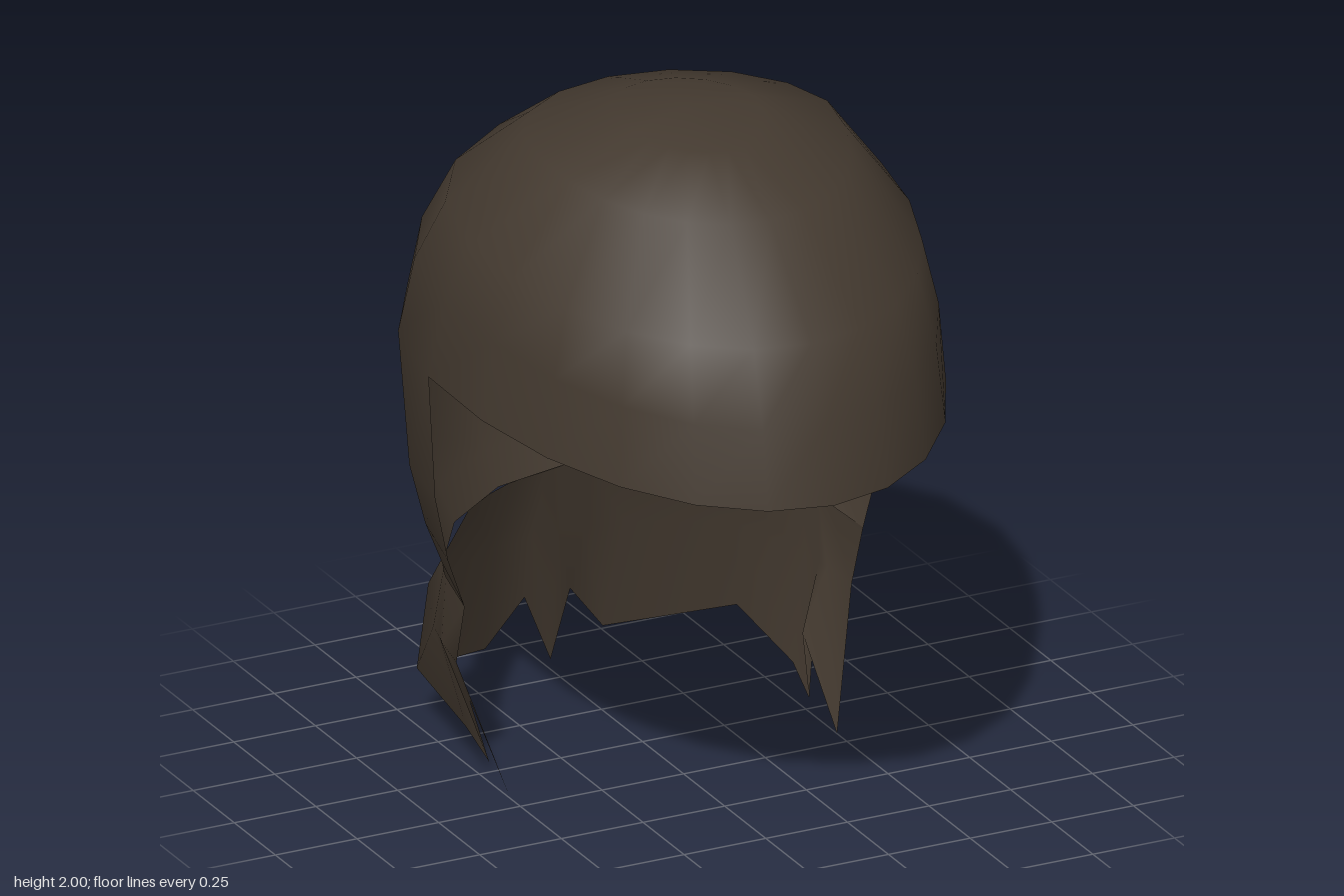
import * as THREE from 'three';

const hair = new THREE.MeshStandardMaterial({ color: 0x43392f, side: THREE.DoubleSide });
hair.name = 'darkBrownHair';

// Each ring: front [z, y], side [x, y, z], back [z, y]
const rings = [
  { f: [0.27, 1.96], s: [0.2, 1.99, 0.02], b: [-0.22, 1.98] },
  { f: [0.53, 1.85], s: [0.44, 1.92, 0.0], b: [-0.46, 1.9] },
  { f: [0.78, 1.58], s: [0.63, 1.68, -0.05], b: [-0.69, 1.74] },
  { f: [0.865, 1.37], s: [0.68, 1.5, -0.1], b: [-0.86, 1.51] },
  { f: [0.915, 1.15], s: [0.705, 1.26, -0.15], b: [-0.915, 1.3] },
  // Below the brow only the back half continues
  { s: [0.7, 0.91, -0.12], b: [-0.81, 0.88] },
  { s: [0.655, 0.71, -0.13], b: [-0.755, 0.74] },
  { s: [0.61, 0.57, -0.12], b: [-0.71, 0.65] },
];
const FULL = 5, FRONT = 12, BACK = 8, COLS = FRONT + BACK;

// Point on a ring; angle 0 is the left side, PI/2 the front
function ringPoint(ring, a) {
  const t = Math.sin(a), [x, y, z] = ring.s;
  const end = t > 0 ? ring.f || ring.b : ring.b;
  const k = Math.abs(t);
  return [x * Math.cos(a), y + (end[1] - y) * k, z + (end[0] - z) * k];
}

const columnAngle = (i) =>
  i <= FRONT ? (i * Math.PI) / FRONT : Math.PI + ((i - FRONT) * Math.PI) / BACK;

function makeMesh(name, points, index) {
  const g = new THREE.BufferGeometry();
  g.setAttribute('position', new THREE.Float32BufferAttribute(points.flat(), 3));
  g.setIndex(index);
  g.computeVertexNormals();
  const mesh = new THREE.Mesh(g, hair);
  mesh.name = name;
  return mesh;
}

const quad = (a, b, c, d) => [a, b, c, a, c, d];

// Domed cap: full rings on the crown, back half only over the nape
function makeCap() {
  const points = [[0, 2, 0.02]], index = [];
  const id = (r, i) => 1 + r * COLS + (i % COLS);
  rings.forEach((ring) => {
    for (let i = 0; i < COLS; i++) points.push(ringPoint(ring, columnAngle(i)));
  });
  for (let i = 0; i < COLS; i++) {
    index.push(0, id(0, i + 1), id(0, i));
    for (let r = 0; r < rings.length - 1; r++) {
      if (r >= FULL - 1 && i < FRONT) continue;
      index.push(...quad(id(r, i), id(r, i + 1), id(r + 1, i + 1), id(r + 1, i)));
    }
  }
  return makeMesh('hairCap', points, index);
}

// Flared ragged ends: one half from the side edge to the middle of the back
const neckDegrees = [0, 16, 20, 26, 56, 75, 84, 90];
const middle = [
  [0.605, 0.38, -0.18], [0.59, 0.39, -0.3], [0.58, 0.39, -0.33], [0.57, 0.4, -0.39],
  [0.47, 0.42, -0.62], [0.2, 0.42, -0.76], [0.08, 0.43, -0.76], [0, 0.43, -0.76],
];
const tips = [
  [0.5, 0, -0.06], [0.51, 0.21, -0.29], [0.49, 0.05, -0.21], [0.5, 0.11, -0.33],
  [0.49, 0.16, -0.65], [0.18, 0.08, -0.85], [0.07, 0.22, -0.83], [0, 0.03, -0.81],
];

function makeEnds() {
  const neck = neckDegrees.map((d) =>
    ringPoint(rings[rings.length - 1], -THREE.MathUtils.degToRad(d)));
  const points = [], index = [];
  for (const half of [neck, middle, tips]) {
    points.push(...half.map(([x, y, z]) => [-x, y, z]));
    points.push(...half.slice(0, -1).reverse());
  }
  const n = neck.length * 2 - 1;
  for (let r = 0; r < 2; r++) {
    for (let i = 0; i < n - 1; i++) {
      const a = r * n + i;
      index.push(...quad(a, a + 1, a + n + 1, a + n));
    }
  }
  return makeMesh('raggedEnds', points, index);
}

export function createModel() {
  const group = new THREE.Group();
  group.name = 'hair';
  group.add(makeCap(), makeEnds());
  return group;
}
